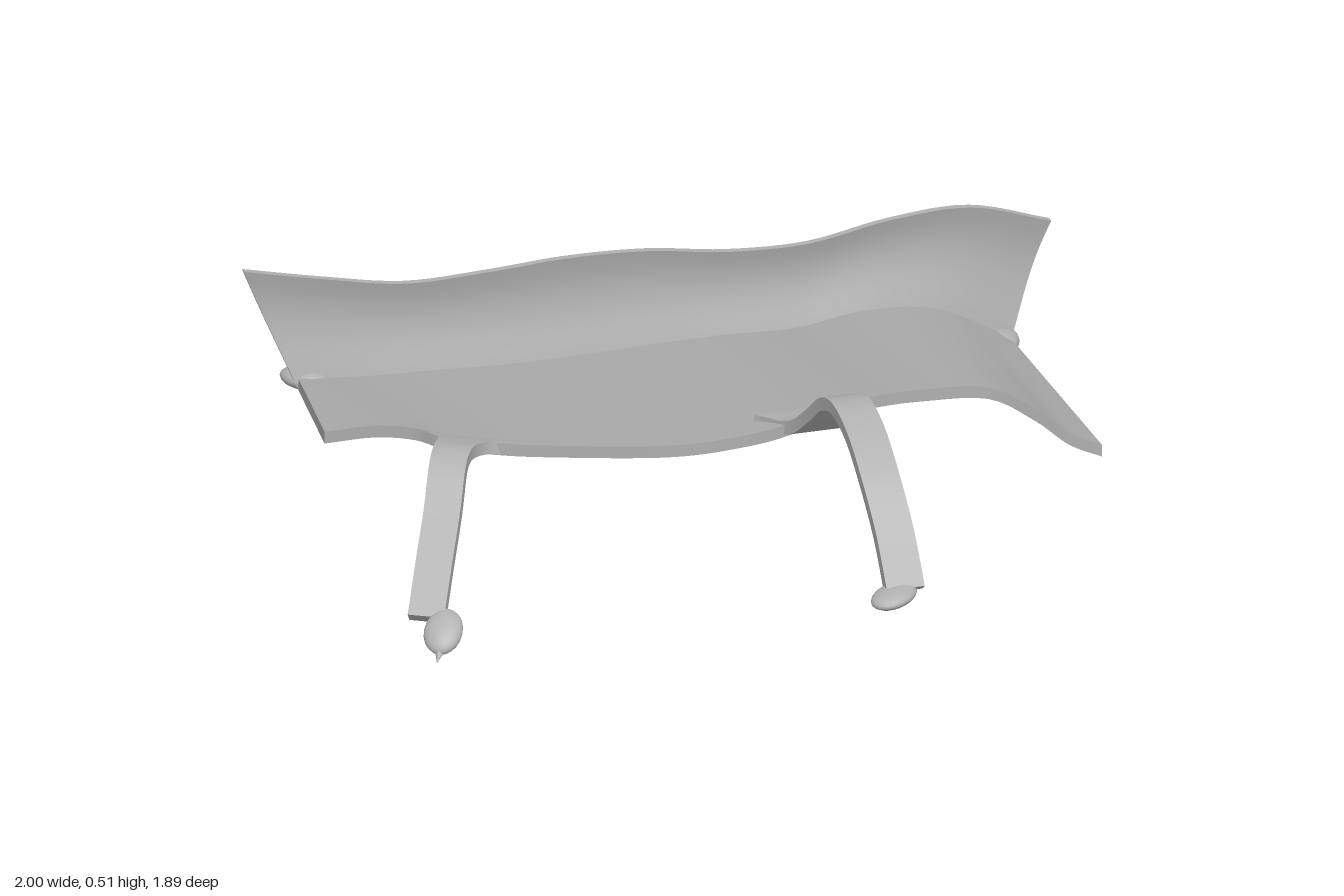
import * as THREE from 'three';
import { toCreasedNormals } from 'three/addons/utils/BufferGeometryUtils.js';

const V = (x, y, z) => new THREE.Vector3(x, y, z);
// s runs along the bench, t from back to front; both are turned in plan
const ALONG = V(0.884, 0, -0.468), ACROSS = V(0.468, 0, 0.884);
const place = (s, t, y) => V(0, y, 0).addScaledVector(ALONG, s).addScaledVector(ACROSS, t);
const spline = (pts) => new THREE.CatmullRomCurve3(pts, false, 'catmullrom');
const lerp = THREE.MathUtils.lerp;

// closed sheet between two surfaces given as functions of (u, v)
function slab(top, bottom, nu, nv) {
  const pos = [], idx = [], w = nv + 1, half = (nu + 1) * w;
  for (const f of [top, bottom])
    for (let i = 0; i <= nu; i++)
      for (let j = 0; j <= nv; j++) pos.push(...f(i / nu, j / nv).toArray());
  const quad = (a, b, c, d) => idx.push(a, b, c, a, c, d);
  for (let i = 0; i < nu; i++)
    for (let j = 0; j < nv; j++) {
      const a = i * w + j;
      quad(a, a + 1, a + w + 1, a + w);
      quad(a + half, a + w + half, a + w + 1 + half, a + 1 + half);
    }
  const wall = (a, b) => quad(b, a, a + half, b + half);
  for (let i = 0; i < nu; i++) {
    wall((i + 1) * w, i * w);
    wall(i * w + nv, (i + 1) * w + nv);
  }
  for (let j = 0; j < nv; j++) {
    wall(j, j + 1);
    wall(nu * w + j + 1, nu * w + j);
  }
  // turn the sheet outward if its volume is negative
  const p = (k) => V(pos[3 * k], pos[3 * k + 1], pos[3 * k + 2]);
  let volume = 0;
  for (let k = 0; k < idx.length; k += 3) volume += p(idx[k]).dot(p(idx[k + 1]).cross(p(idx[k + 2])));
  if (volume < 0) idx.reverse();
  const geo = new THREE.BufferGeometry();
  geo.setAttribute('position', new THREE.Float32BufferAttribute(pos, 3));
  geo.setIndex(idx);
  return toCreasedNormals(geo, 0.7);
}

export function createModel() {
  const group = new THREE.Group();
  const grey = new THREE.MeshStandardMaterial({ color: 0xb0b0b0 });
  grey.name = 'grey';
  const add = (name, geo) => {
    const mesh = new THREE.Mesh(geo, grey);
    mesh.name = name;
    group.add(mesh);
    return mesh;
  };

  // wavy lower and upper edges of the backrest
  const lowY = [0.17, 0.155, 0.148, 0.14, 0.14, 0.145, 0.145, 0.14, 0.162, 0.142, 0.05];
  const highY = [0.47, 0.425, 0.388, 0.39, 0.4, 0.393, 0.365, 0.36, 0.393, 0.4, 0.34];
  const low = spline(lowY.map((y, i) => place(lerp(-0.74, 0.95, i / 10), -0.46, y)));
  const high = spline(highY.map((y, i) => place(lerp(-0.86, 1.06, i / 10), -0.495, y)));

  // backrest, bowed slightly backward
  const inner = (u, v) => low.getPoint(u).lerp(high.getPoint(u), v)
    .addScaledVector(ACROSS, -0.022 * Math.sin(Math.PI * Math.pow(v, 1.3)));
  const outer = (u, v) => inner(u, v).addScaledVector(ACROSS, -0.016);
  add('backrest', slab(inner, outer, 60, 10));

  // seat, ruled between its front edge and the foot of the backrest
  const front = spline([
    [-0.72, 0.28, 0.36], [-0.6, 0.315, 0.375], [-0.5, 0.325, 0.39], [-0.42, 0.325, 0.425],
    [-0.3, 0.322, 0.42], [-0.2, 0.322, 0.41], [0, 0.33, 0.39], [0.12, 0.335, 0.365],
    [0.22, 0.34, 0.32], [0.32, 0.345, 0.25], [0.42, 0.35, 0.13], [0.5, 0.35, 0.06],
    [0.6, 0.348, 0], [0.74, 0.335, -0.07], [0.85, 0.29, -0.07], [0.93, 0.24, -0.065], [1, 0.2, -0.1],
  ].map((p) => V(...p)));
  const seatTop = (u, v) => {
    const f = front.getPoint(u);
    const s = THREE.MathUtils.clamp((f.dot(ALONG) + 0.74) / 1.67, 0, 1);
    const b = low.getPoint(s);
    b.y += 0.028;
    return b.lerp(f, v);
  };
  const seatBottom = (u, v) => seatTop(u, v).add(V(0, -0.03, 0));
  add('seat', slab(seatTop, seatBottom, 80, 8));

  // bent strap legs, flared where they leave the seat
  function leg(name, points, side, width, flare, shift) {
    const path = spline(points.map((p) => V(...p)));
    const top = (u, v) => {
      const k = Math.pow(1 - u, 9);
      return path.getPoint(u).addScaledVector(side, (v - 0.5) * (width + flare * k) + shift * k);
    };
    const bottom = (u, v) => {
      const n = path.getTangent(u).cross(side).normalize();
      return top(u, v).addScaledVector(n, -0.03);
    };
    add(name, slab(top, bottom, 40, 4));
  }
  leg('rightFrontLeg', [
    [-0.39, 0.318, 0.39], [-0.392, 0.335, 0.45], [-0.392, 0.342, 0.51], [-0.39, 0.32, 0.57],
    [-0.385, 0.25, 0.65], [-0.383, 0.165, 0.75], [-0.38, 0.08, 0.85],
  ], V(1, 0, 0), 0.085, 0.1, 0.04);
  leg('leftFrontLeg', [
    [0.345, 0.34, 0.14], [0.39, 0.355, 0.21], [0.435, 0.42, 0.28], [0.48, 0.49, 0.35],
    [0.525, 0.515, 0.425], [0.58, 0.49, 0.52], [0.635, 0.425, 0.62], [0.685, 0.33, 0.7],
    [0.725, 0.225, 0.77],
  ], ALONG, 0.09, 0.13, 0);

  // rounded foot pads
  const pad = (name, at, size, turn, tilt) => {
    const mesh = add(name, new THREE.SphereGeometry(1, 20, 12));
    mesh.position.set(...at);
    mesh.scale.set(...size);
    mesh.rotation.set(tilt, turn, 0, 'YXZ');
  };
  pad('rightFrontFoot', [-0.335, 0.055, 0.87], [0.045, 0.022, 0.06], 0, 0.6);
  pad('leftFrontFoot', [0.7, 0.21, 0.785], [0.045, 0.02, 0.06], -0.6, 0.15);
  pad('rightRearFoot', [-0.865, 0.182, -0.1], [0.06, 0.024, 0.04], -0.3, 0);
  pad('leftRearFoot', [0.61, 0.072, -0.84], [0.04, 0.024, 0.058], 0.3, 0);

  // pointed toe on the lower front foot
  const toe = add('rightFrontToe', new THREE.ConeGeometry(0.022, 0.07, 12));
  toe.position.set(-0.335, 0.025, 0.91);
  toe.rotation.x = Math.PI / 2 + 0.5;

  return group;
}
